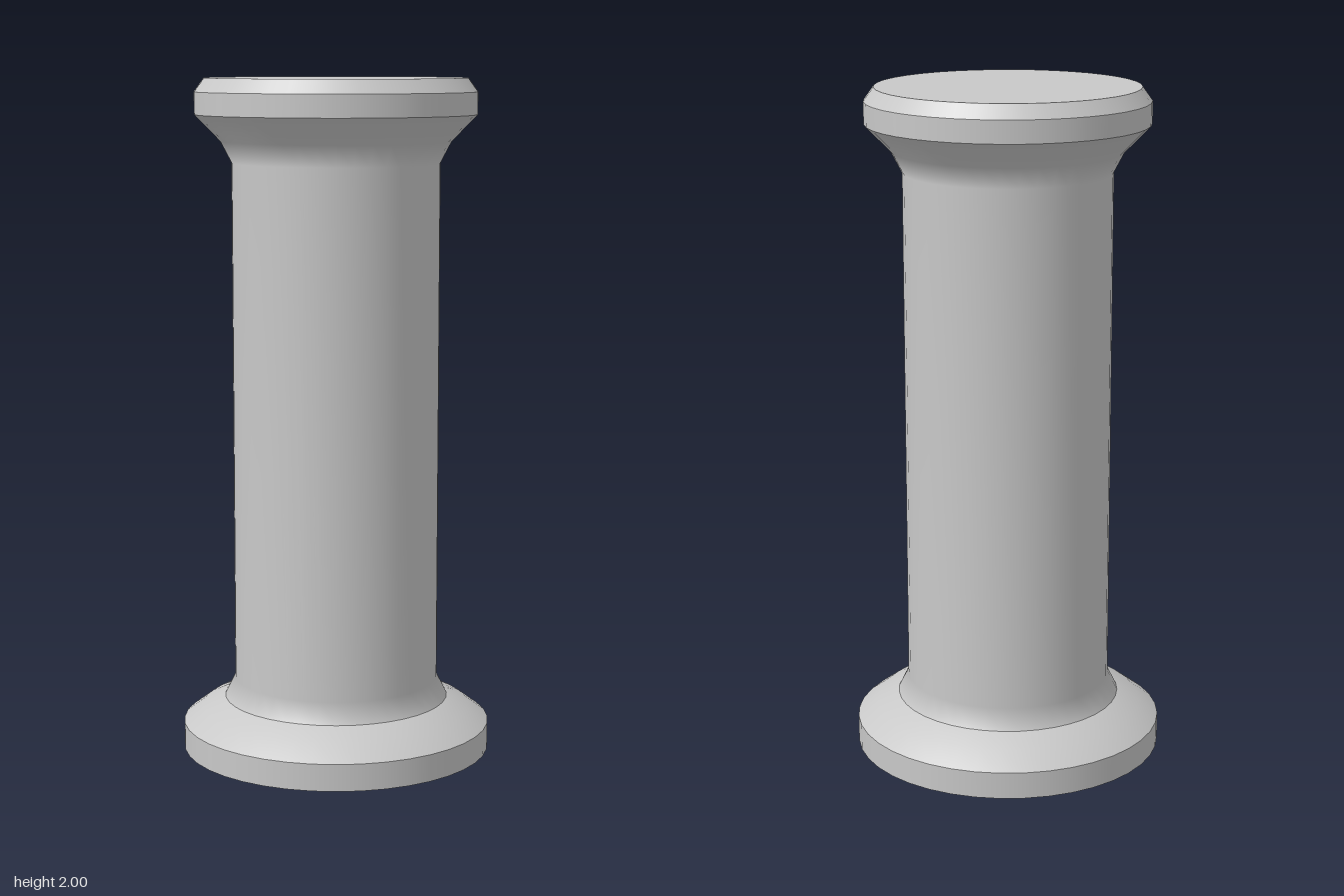
import * as THREE from 'three';

const SIDES = 40;

export function createModel() {
  const group = new THREE.Group();
  const stone = new THREE.MeshStandardMaterial({ color: 0xc8c8c8 });
  stone.name = 'light grey stone';

  // Each band is smooth inside and meets its neighbours in a sharp edge
  const band = (parent, name, profile) => {
    const points = profile.map(([r, y]) => new THREE.Vector2(r, y));
    const mesh = new THREE.Mesh(new THREE.LatheGeometry(points, SIDES), stone);
    mesh.name = name;
    parent.add(mesh);
  };
  const part = (name) => {
    const g = new THREE.Group();
    g.name = name;
    group.add(g);
    return g;
  };

  // Round foot with a domed shoulder
  const base = part('base');
  band(base, 'baseUnderside', [[0, 0], [0.46, 0]]);
  band(base, 'baseRim', [[0.46, 0], [0.46, 0.08]]);
  band(base, 'baseShoulder', [[0.46, 0.08], [0.4, 0.125], [0.335, 0.155]]);

  // Shaft flaring out at both ends
  band(group, 'shaft', [
    [0.335, 0.155], [0.305, 0.215], [0.305, 1.755], [0.338, 1.818], [0.413, 1.895],
  ]);

  // Bevelled top slab
  const capital = part('capital');
  band(capital, 'capitalRim', [[0.413, 1.895], [0.413, 1.96]]);
  band(capital, 'capitalBevel', [[0.413, 1.96], [0.384, 2]]);
  band(capital, 'capitalTop', [[0.384, 2], [0, 2]]);

  return group;
}
